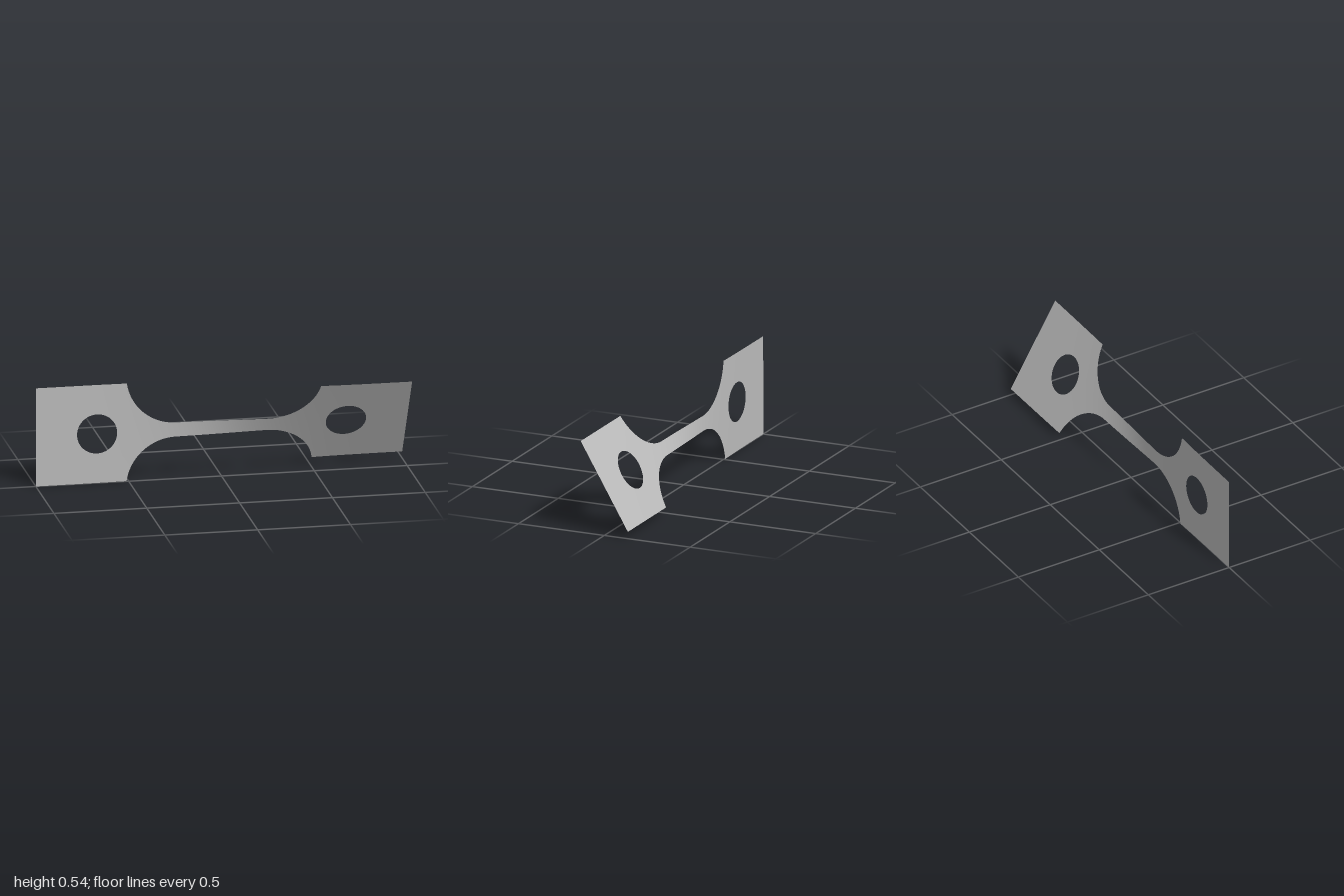
import * as THREE from 'three';

const HALF = 0.271, GAUGE = 0.04;            // half heights of the heads and the neck
const CORNER = 0.5104, NECK = 0.245, R = 0.268; // fillet position and radius
const HOLE_X = 0.67, HOLE_R = 0.108;

// Twist angle along the strip: nearly flat at one end, about 30 degrees at the other
const twist = (x) => THREE.MathUtils.degToRad(15.25) * (1 + Math.tanh(3.3 * x));

// Half height of the outline at x
function outer(x) {
  const a = Math.abs(x);
  if (a >= CORNER) return HALF;
  if (a <= NECK) return GAUGE;
  return Math.min(HALF, GAUGE + R - Math.sqrt(Math.max(0, R * R - (a - NECK) ** 2)));
}

// Half height of the round hole at x
function inner(x) {
  const d = Math.abs(x) - HOLE_X;
  return Math.sqrt(Math.max(0, HOLE_R * HOLE_R - d * d));
}

// Column positions, dense around the hole and along the fillet
function columns() {
  const xs = [];
  for (let i = 0; i < 6; i++) xs.push(1 - (i / 6) * (1 - HOLE_X - HOLE_R));
  for (let i = 0; i <= 32; i++) xs.push(HOLE_X + HOLE_R * Math.cos((Math.PI * i) / 32));
  const end = Math.asin((CORNER - NECK) / R);
  for (let i = 0; i <= 28; i++) xs.push(NECK + R * Math.sin(end * (1 - i / 28)));
  for (let i = 1; i < 12; i++) xs.push(NECK * (1 - i / 12));
  return [...xs.map((x) => -x), 0, ...xs.reverse()];
}

// One half of the sheet, above (side = 1) or below (side = -1) the long axis
function halfSheet(side) {
  const xs = columns();
  const geo = new THREE.PlaneGeometry(2, 1, xs.length - 1, 1);
  const pos = geo.attributes.position, normal = geo.attributes.normal;
  const n = new THREE.Vector3();
  for (let i = 0; i < pos.count; i++) {
    const x = xs[i % xs.length];
    const top = i < xs.length;
    const h = top === (side > 0) ? side * outer(x) : side * inner(x);
    const a = twist(x);
    pos.setXYZ(i, x, h * Math.cos(a), h * Math.sin(a));
    // Exact normal of the twisted surface
    const slope = (twist(x + 1e-4) - twist(x - 1e-4)) / 2e-4;
    n.set(-h * slope, -Math.sin(a), Math.cos(a)).normalize();
    normal.setXYZ(i, n.x, n.y, n.z);
  }
  return geo;
}

export function createModel() {
  const group = new THREE.Group();
  group.name = 'twistedTestStrip';
  const metal = new THREE.MeshStandardMaterial({ color: 0xbcbcbc, side: THREE.DoubleSide });
  metal.name = 'grey metal';

  // Thin sheet with two pierced heads joined by a twisted neck
  for (const [side, name] of [[1, 'upperHalf'], [-1, 'lowerHalf']]) {
    const mesh = new THREE.Mesh(halfSheet(side), metal);
    mesh.name = name;
    mesh.position.y = HALF;
    group.add(mesh);
  }
  return group;
}
